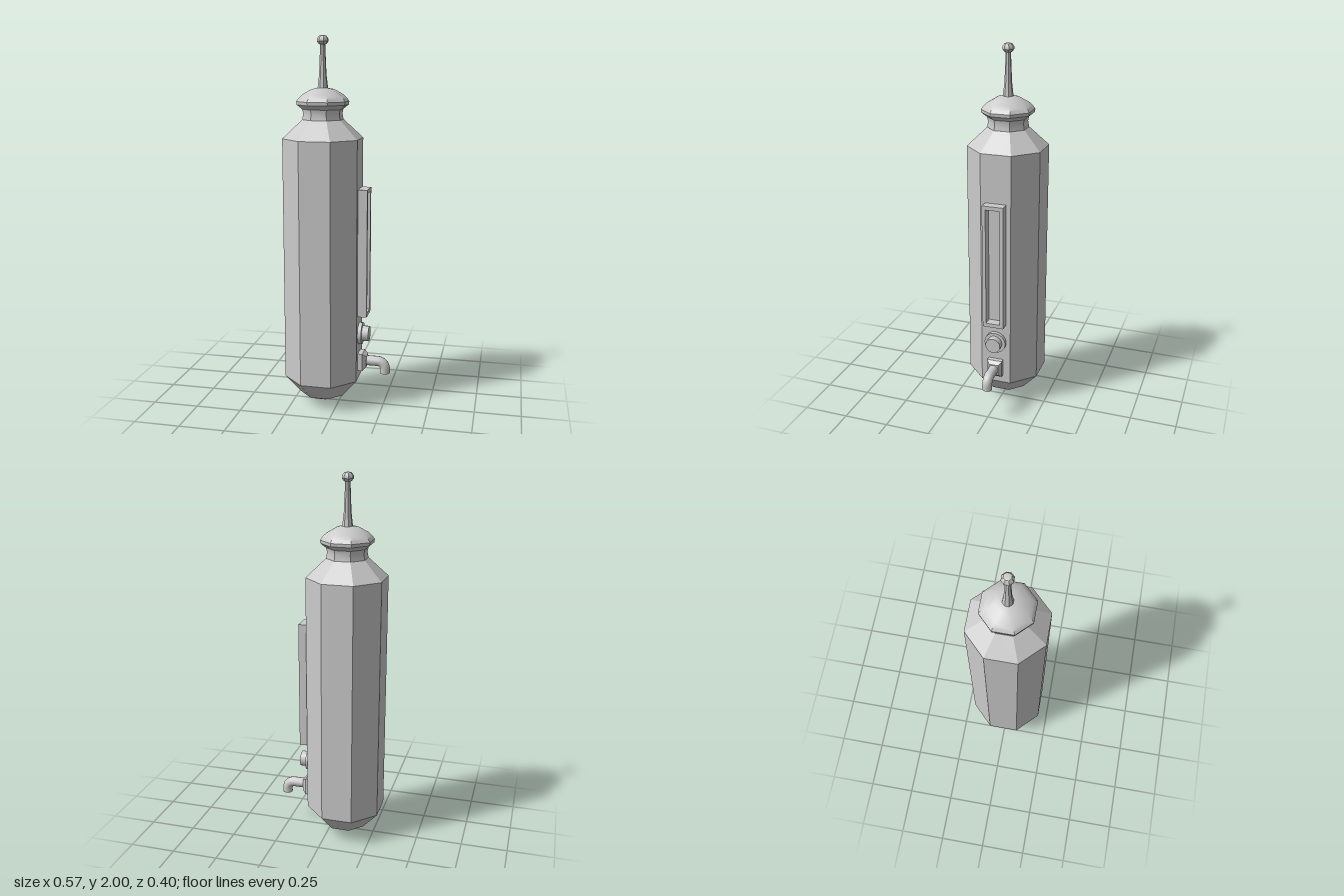
import * as THREE from 'three';
import { toCreasedNormals } from 'three/addons/utils/BufferGeometryUtils.js';

const AXIS_X = -0.088; // tank centre line
const FACE_X = 0.112; // flat side that carries the fittings

const material = new THREE.MeshStandardMaterial({ color: 0xcccccc });
const openMaterial = new THREE.MeshStandardMaterial({ color: 0xcccccc, side: THREE.DoubleSide });

export function createModel() {
  const group = new THREE.Group();

  const add = (name, geometry, x = 0, y = 0, z = 0, mat = material) => {
    const mesh = new THREE.Mesh(geometry, mat);
    mesh.name = name;
    mesh.position.set(x, y, z);
    group.add(mesh);
    return mesh;
  };

  // Eight-sided turned part; profile radii are measured to the flats
  const octagonal = (name, profile, crease) => {
    const points = profile.map(([r, y]) => new THREE.Vector2(r / Math.cos(Math.PI / 8), y));
    const geometry = new THREE.LatheGeometry(points, 8, Math.PI / 8);
    return add(name, toCreasedNormals(geometry, crease), AXIS_X);
  };

  // Tank with pointed bottom and sloping shoulder
  octagonal('tank', [[0, 0], [0.02, 0.004], [0.115, 0.05], [0.2, 0.153], [0.2, 1.47], [0.102, 1.568], [0, 1.568]], 0.2);

  // Waisted neck and domed cap
  octagonal('neck', [[0.102, 1.565], [0.096, 1.6], [0.101, 1.622], [0.128, 1.645]], 0.6);
  octagonal('cap', [[0.128, 1.645], [0.13, 1.662], [0.118, 1.68], [0.1, 1.698], [0.055, 1.725], [0, 1.735]], 0.6);

  // Spire with ball tip
  octagonal('spire', [[0.026, 1.727], [0.018, 1.8], [0.012, 1.96]], 0.6);
  octagonal('spireBall', [[0, 1.948], [0.018, 1.953], [0.028, 1.967], [0.028, 1.98], [0.018, 1.995], [0, 2]], 0.6);

  // Hollow rectangular gauge frame
  const rectangle = (target, w, h) => {
    target.moveTo(-w, -h).lineTo(w, -h).lineTo(w, h).lineTo(-w, h).closePath();
    return target;
  };
  const frame = rectangle(new THREE.Shape(), 0.058, 0.347);
  frame.holes.push(rectangle(new THREE.Path(), 0.039, 0.326));
  const frameGeometry = new THREE.ExtrudeGeometry(frame, { depth: 0.05, bevelEnabled: false }).rotateY(Math.PI / 2);
  add('gaugeFrame', frameGeometry, FACE_X, 0.862);

  // Knob: wide collar and a narrower button
  const disc = (r, length) => new THREE.CylinderGeometry(r, r, length, 16).rotateZ(-Math.PI / 2);
  add('knobCollar', disc(0.06, 0.02), FACE_X + 0.01, 0.405);
  add('knobButton', disc(0.042, 0.056), FACE_X + 0.028, 0.405);

  // Tap mounting block with a tapered face
  add('tapBlock', new THREE.BoxGeometry(0.025, 0.096, 0.084), FACE_X + 0.0125, 0.249);
  const taper = new THREE.CylinderGeometry(0.027 * Math.SQRT2, 0.042 * Math.SQRT2, 0.02, 4, 1)
    .rotateY(Math.PI / 4).rotateZ(-Math.PI / 2).scale(1, 1.14, 1);
  add('tapTaper', toCreasedNormals(taper, 0.3), FACE_X + 0.035, 0.249);

  // Spout: straight run, bend and open downturned end
  const p = (x, y) => new THREE.Vector3(x, y, 0);
  const path = new THREE.CurvePath();
  path.add(new THREE.LineCurve3(p(0.13, 0.25), p(0.215, 0.25)));
  path.add(new THREE.CubicBezierCurve3(p(0.215, 0.25), p(0.238, 0.25), p(0.257, 0.233), p(0.257, 0.21)));
  path.add(new THREE.LineCurve3(p(0.257, 0.21), p(0.257, 0.185)));
  add('spout', new THREE.TubeGeometry(path, 24, 0.0275, 12), 0, 0, 0, openMaterial);
  add('spoutBore', new THREE.TubeGeometry(path, 24, 0.018, 12), 0, 0, 0, openMaterial);
  add('spoutLip', new THREE.RingGeometry(0.018, 0.0275, 12).rotateX(Math.PI / 2), 0.257, 0.185, 0, openMaterial);

  return group;
}
